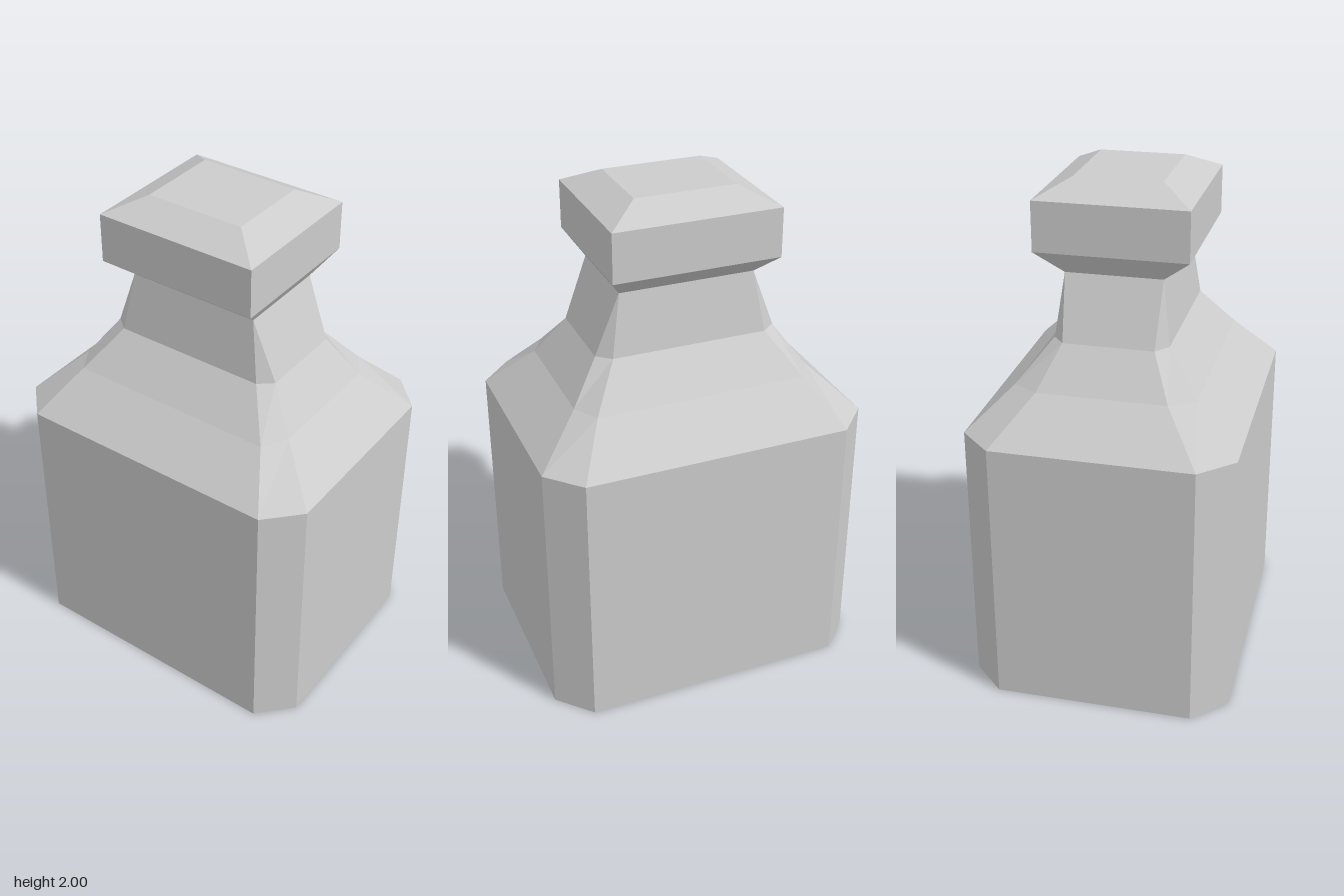
import * as THREE from 'three';

const material = new THREE.MeshStandardMaterial({ color: 0xcccccc, flatShading: true });

// Rectangle with cut corners: half sizes x, z; where the cuts begin ix, iz
function ring([y, x, z, ix = x, iz = z]) {
  return [
    [-ix, z], [ix, z], [x, iz], [x, -iz],
    [ix, -z], [-ix, -z], [-x, -iz], [-x, iz],
  ].map(([px, pz]) => new THREE.Vector3(px, y, pz));
}

// Flat-sided skin through a stack of rings, with optional end faces
function loft(name, sections, closeBottom, closeTop) {
  const rings = sections.map(ring);
  const positions = [];
  const tri = (a, b, c) => {
    if (new THREE.Triangle(a, b, c).getArea() > 1e-7) {
      for (const p of [a, b, c]) positions.push(p.x, p.y, p.z);
    }
  };
  for (let i = 0; i < rings.length - 1; i++) {
    const low = rings[i], high = rings[i + 1];
    for (let j = 0; j < 8; j++) {
      const k = (j + 1) % 8;
      tri(low[j], low[k], high[k]);
      tri(low[j], high[k], high[j]);
    }
  }
  const first = rings[0], last = rings[rings.length - 1];
  for (let j = 1; j < 7; j++) {
    if (closeBottom) tri(first[0], first[j + 1], first[j]);
    if (closeTop) tri(last[0], last[j], last[j + 1]);
  }
  const geometry = new THREE.BufferGeometry();
  geometry.setAttribute('position', new THREE.Float32BufferAttribute(positions, 3));
  geometry.computeVertexNormals();
  const mesh = new THREE.Mesh(geometry, material);
  mesh.name = name;
  return mesh;
}

export function createModel() {
  const bottle = new THREE.Group();
  bottle.name = 'bottle';

  // Straight body with bevelled vertical edges
  const shoulderBase = [1.08, 0.655, 0.52, 0.53, 0.39];
  bottle.add(loft('body', [[0, ...shoulderBase.slice(1)], shoulderBase], true, false));

  // Sloping shoulders, narrowing to a square-cornered neck
  const neckBase = [1.41, 0.365, 0.22, 0.31, 0.175];
  const neckTop = [1.655, 0.27, 0.187];
  bottle.add(loft('shoulders', [shoulderBase, [1.25, 0.478, 0.348, 0.42, 0.25], neckBase], false, false));
  bottle.add(loft('neck', [neckBase, neckTop], false, false));

  // Stopper flaring out from the neck, with a bevelled top
  bottle.add(loft('stopper', [
    neckTop, [1.742, 0.33, 0.293], [1.935, 0.33, 0.293], [2, 0.2, 0.168],
  ], false, true));

  return bottle;
}
